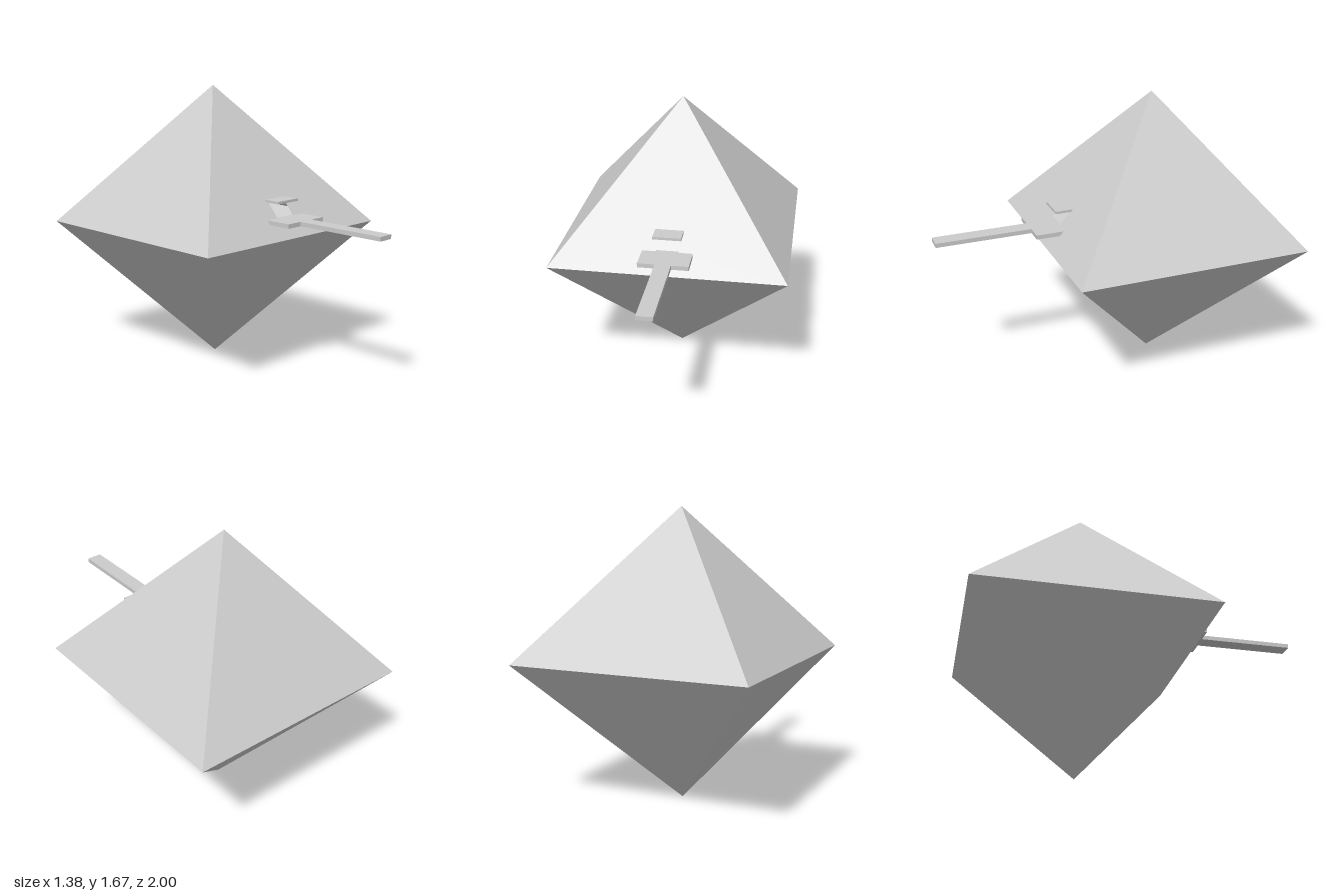
import * as THREE from 'three';

const MID = 0.835;   // height of the widest edge
const HALF = 0.688;  // half width of the square
const CENTRE_Z = -0.312;

export function createModel() {
  const model = new THREE.Group();
  const grey = new THREE.MeshStandardMaterial({ color: 0xcccccc, flatShading: true });
  const shell = new THREE.MeshStandardMaterial({ color: 0xcccccc, flatShading: true, side: THREE.DoubleSide });

  // One sloping triangular wall, optionally pierced by the doorway
  function wallGeometry(withDoor) {
    const shape = new THREE.Shape([
      new THREE.Vector2(-HALF, 0), new THREE.Vector2(HALF, 0), new THREE.Vector2(0, MID),
    ]);
    if (withDoor) {
      const bottom = 0.945 - MID, top = 1.03 - MID;
      shape.holes.push(new THREE.Path([
        new THREE.Vector2(-0.065, bottom), new THREE.Vector2(-0.065, top),
        new THREE.Vector2(0.065, top), new THREE.Vector2(0.065, bottom),
      ]));
    }
    const geometry = new THREE.ShapeGeometry(shape);
    const p = geometry.attributes.position;
    // lean the triangle inwards to the apex
    for (let i = 0; i < p.count; i++) p.setZ(i, HALF * (1 - p.getY(i) / MID));
    geometry.computeVertexNormals();
    return geometry;
  }

  // Hollow octahedral hull: four walls up, four walls down
  const hull = new THREE.Group();
  hull.name = 'hull';
  hull.position.set(0, MID, CENTRE_Z);
  for (let i = 0; i < 4; i++) {
    const upper = new THREE.Mesh(wallGeometry(i === 0), shell);
    upper.name = i === 0 ? 'upperWallWithDoorway' : 'upperWall';
    upper.rotation.y = i * Math.PI / 2;
    const lower = new THREE.Mesh(wallGeometry(false).rotateZ(Math.PI), shell);
    lower.name = 'lowerWall';
    lower.rotation.y = i * Math.PI / 2;
    hull.add(upper, lower);
  }
  model.add(hull);

  // Slab given by half width, height range and depth range
  function slab(name, halfWidth, y0, y1, z0, z1) {
    const mesh = new THREE.Mesh(new THREE.BoxGeometry(halfWidth * 2, y1 - y0, z1 - z0), grey);
    mesh.name = name;
    mesh.position.set(0, (y0 + y1) / 2, (z0 + z1) / 2);
    model.add(mesh);
  }

  // Entrance: landing, gangway and canopy
  slab('landing', 0.145, 0.92, 0.945, 0.27, 0.445);
  slab('gangway', 0.046, 0.92, 0.945, 0.445, 1);
  slab('canopy', 0.082, 1.03, 1.045, 0.195, 0.308);

  return model;
}
